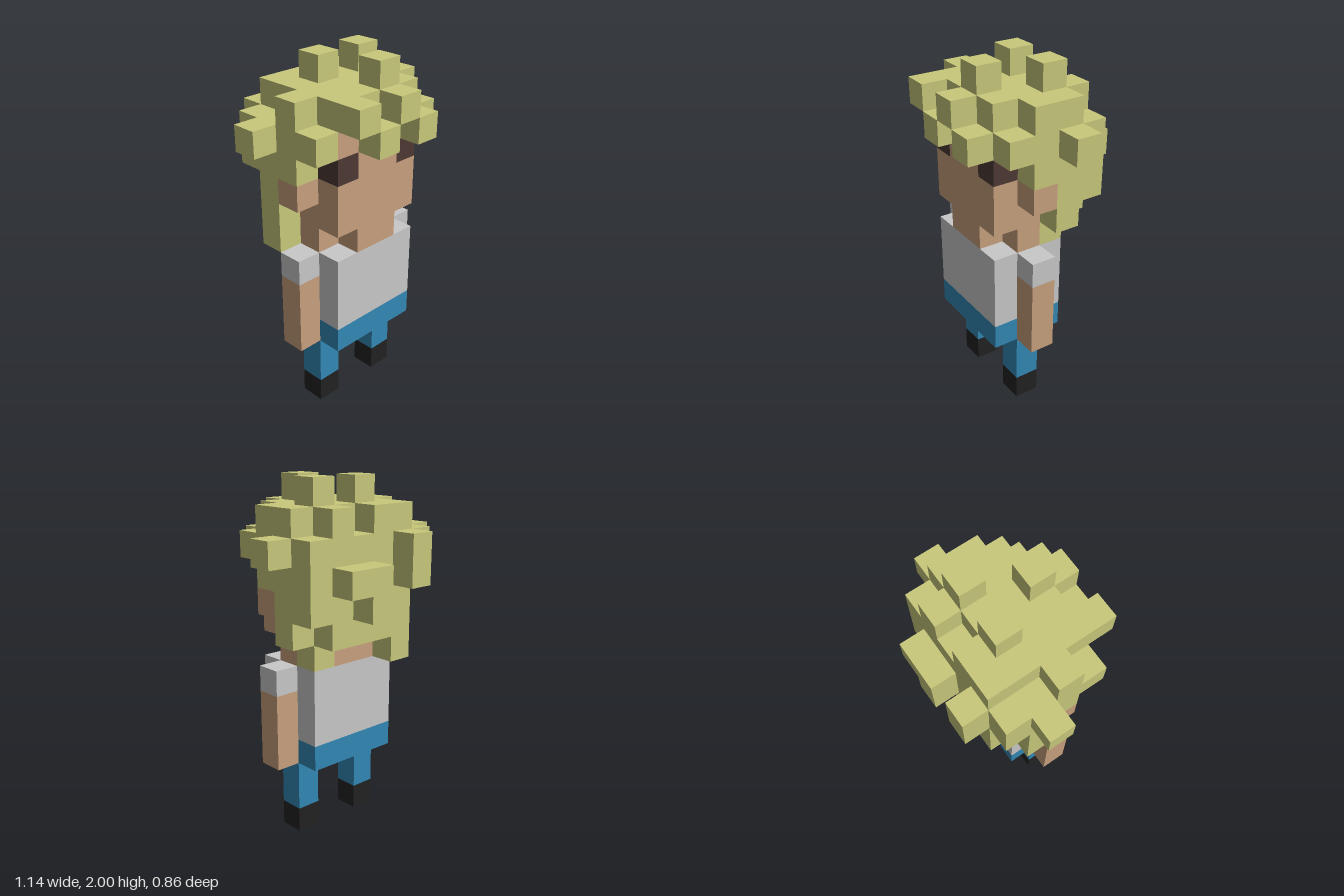
import * as THREE from 'three';

const U = 1 / 7; // edge of one cube
const cube = new THREE.BoxGeometry(U, U, U);

function mat(name, color) {
  const m = new THREE.MeshStandardMaterial({ color });
  m.name = name;
  return m;
}

export function createModel() {
  const skin = mat('skin', 0xc9a17e);
  const hair = mat('hair', 0xc9c97c);
  const shirt = mat('shirt', 0xc9c9c9);
  const trousers = mat('trousers', 0x3288b5);
  const shoe = mat('shoe', 0x222222);
  const eye = mat('eye', 0x4d3934);

  const model = new THREE.Group();
  model.name = 'blockFigure';

  // block w x h x d cubes in size, from its lowest corner (x, y, z)
  function block(name, material, x, y, z, w = 1, h = 1, d = 1) {
    const mesh = new THREE.Mesh(cube, material);
    mesh.name = name;
    mesh.scale.set(w, h, d);
    mesh.position.set((x + w / 2) * U, (y + h / 2) * U, (z + d / 2) * U);
    model.add(mesh);
  }

  // the same block on the left (+x) and the right
  function pair(name, material, x, y, z, w = 1, h = 1, d = 1) {
    block(`left${name}`, material, x, y, z, w, h, d);
    block(`right${name}`, material, -x - w, y, z, w, h, d);
  }

  // legs
  pair('Shoe', shoe, 1, 0, 0);
  pair('Leg', trousers, 1, 1, 0, 1, 2);

  // body
  block('hips', trousers, -2, 3, -1, 4, 1, 3);
  block('torso', shirt, -2, 4, -1, 4, 3, 3);
  pair('Arm', skin, 2, 3, 0, 1, 3);
  pair('Sleeve', shirt, 2, 6, 0);

  // head, with the eyes set into its front corners
  block('neck', skin, -2, 7, 0, 4);
  block('chin', skin, -1, 7, -1, 2, 1, 3);
  block('jaw', skin, -2, 8, -1, 4, 2, 3);
  block('nose', skin, -1, 10, -1, 2, 1, 3);
  block('forehead', skin, -2, 11, -1, 4, 1, 3);
  pair('Ear', skin, 2, 9, 0);
  pair('Eye', eye, 1, 10, 1);

  // hair on top, with a notch at the back
  block('hairCrown', hair, -2, 12, -1, 4, 1, 3);
  block('hairCrownBackRight', hair, -2, 12, -2, 2);
  block('hairCrownBackLeft', hair, 1, 12, -2);
  block('hairCrownRight', hair, -3, 12, 0);
  block('hairCrownLeft', hair, 2, 12, -1, 1, 1, 2);
  block('hairTuftRight', hair, -1, 13, -1);
  block('hairTuftLeft', hair, 1, 13, -1);
  block('hairTuftFront', hair, 0, 13, 1);

  // fringe of four cubes, alternately high and low
  for (let i = 0; i < 4; i++) block('hairFringe', hair, i - 2, 12 - (i % 2), 2);

  // hair at the sides
  pair('HairSide', hair, 2, 10, -2, 1, 2, 3);
  pair('HairTemple', hair, 2, 11, 1);
  pair('HairCurl', hair, 3, 11, -1);
  block('hairLockRight', hair, -3, 7, -1, 1, 3);
  block('hairLockLeft', hair, 2, 8, -1, 1, 2);
  block('hairLockLeftBack', hair, 2, 9, -2);

  // hair at the back
  block('hairBack', hair, -2, 8, -2, 4, 4);
  block('hairNapeRight', hair, -2, 7, -2);
  block('hairNapeLeft', hair, 1, 7, -1);
  block('hairBackCurlRight', hair, -2, 10, -3, 1, 2);
  block('hairBackCurlMiddle', hair, 0, 9, -3, 1, 2);
  block('hairBackCurlLeft', hair, 1, 10, -3);

  return model;
}
